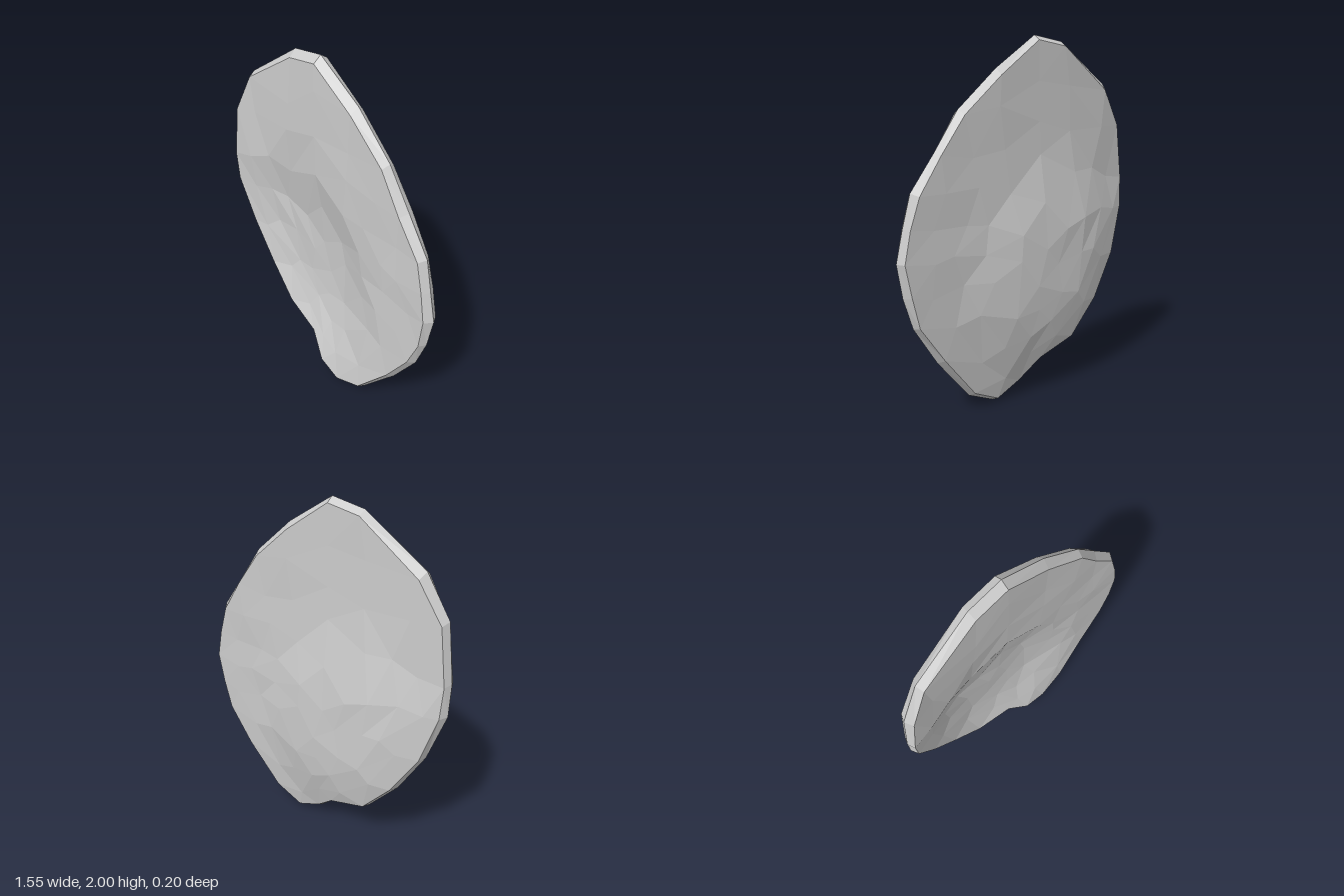
import * as THREE from 'three';

// Outline, clockwise from the top: x, y, z of the rim's middle
const RIM = [
  [-0.08, 2.0, 0], [0.18, 1.83, -0.008], [0.41, 1.63, 0], [0.55, 1.43, 0],
  [0.69, 1.24, 0.005], [0.735, 1.07, 0.01], [0.775, 0.9, 0.01], [0.745, 0.72, 0.01],
  [0.69, 0.55, 0.015], [0.55, 0.33, 0.02], [0.34, 0.08, 0.045], [0.17, 0, 0.06],
  [0.02, 0.06, 0.06], [-0.11, 0.19, 0.038], [-0.35, 0.27, 0.024], [-0.53, 0.48, 0.02],
  [-0.68, 0.74, 0.027], [-0.775, 1.02, 0.037], [-0.775, 1.2, 0.046], [-0.735, 1.52, 0.043],
  [-0.61, 1.74, 0.02], [-0.27, 1.97, 0],
];
const CENTRE = [-0.1, 0.86];

// Rings from the middle to the ridge beside the rim: scale, number of points
const RINGS = [[0, 1], [0.22, 6], [0.44, 11], [0.63, 15], [0.81, 18], [0.97, 22]];

// Depth of the dish, an oval leaning to the upper left: 1 on its floor, 0 outside it
function dish(x, y) {
  const v = y - 0.74;
  const r = Math.hypot((x + 0.17 + 0.15 * v) / 0.58, v / 0.68);
  return 1 - THREE.MathUtils.smoothstep(r, 0.38, 1.04);
}

// Point on the outline, t from 0 to 1
function outlineAt(t) {
  const f = t * RIM.length, i = Math.floor(f + 1e-6);
  const p = RIM[i % RIM.length], q = RIM[(i + 1) % RIM.length];
  return p.map((v, k) => v + (q[k] - v) * (f - i));
}

// One ring of the face: side is +1 for the front, -1 for the back
function faceRing([scale, count], side, level) {
  const inner = scale < 0.9;
  return Array.from({ length: count }, (_, i) => {
    const [px, py, pz] = outlineAt(i / count);
    const wave = Math.sin(i * 2.4 + level * 1.7 + side);
    const s = scale * (1 + wave * (inner ? 0.045 : 0.008));
    const x = CENTRE[0] + (px - CENTRE[0]) * s;
    const y = CENTRE[1] + (py - CENTRE[1]) * s;
    const d = dish(x, y);
    const bump = inner ? 0.003 * Math.sin(i * 2.9 + level * 2.1) : 0;
    const z = pz * scale ** 2.5 + bump + (side > 0 ? 0.043 - 0.073 * d : -0.04 - 0.06 * d);
    return [x, y, z];
  });
}

// Triangles between two rings whose numbers of points may differ
function zip(a, b, out) {
  let i = 0, j = 0;
  while (i < a.length || j < b.length) {
    const p = a[i % a.length], q = b[j % b.length];
    if (j === b.length || (i < a.length && (i + 1) / a.length < (j + 1) / b.length)) {
      i++;
      if (a.length > 1) out.push(p, a[i % a.length], q);
    } else {
      j++;
      if (b.length > 1) out.push(p, b[j % b.length], q);
    }
  }
}

function shellGeometry() {
  const rings = [
    ...RINGS.map((r, k) => faceRing(r, 1, k)),
    RIM,
    ...RINGS.map((r, k) => faceRing(r, -1, k)).reverse(),
  ];
  const corners = [];
  for (let r = 0; r < rings.length - 1; r++) zip(rings[r], rings[r + 1], corners);

  const g = new THREE.BufferGeometry();
  g.setAttribute('position', new THREE.Float32BufferAttribute(corners.flat(), 3));
  g.computeVertexNormals();
  return g;
}

export function createModel() {
  const group = new THREE.Group();
  group.name = 'dishedStoneSlab';
  const slab = new THREE.Mesh(
    shellGeometry(),
    new THREE.MeshStandardMaterial({ color: 0xcccccc, flatShading: true })
  );
  slab.name = 'slab';
  group.add(slab);
  return group;
}
